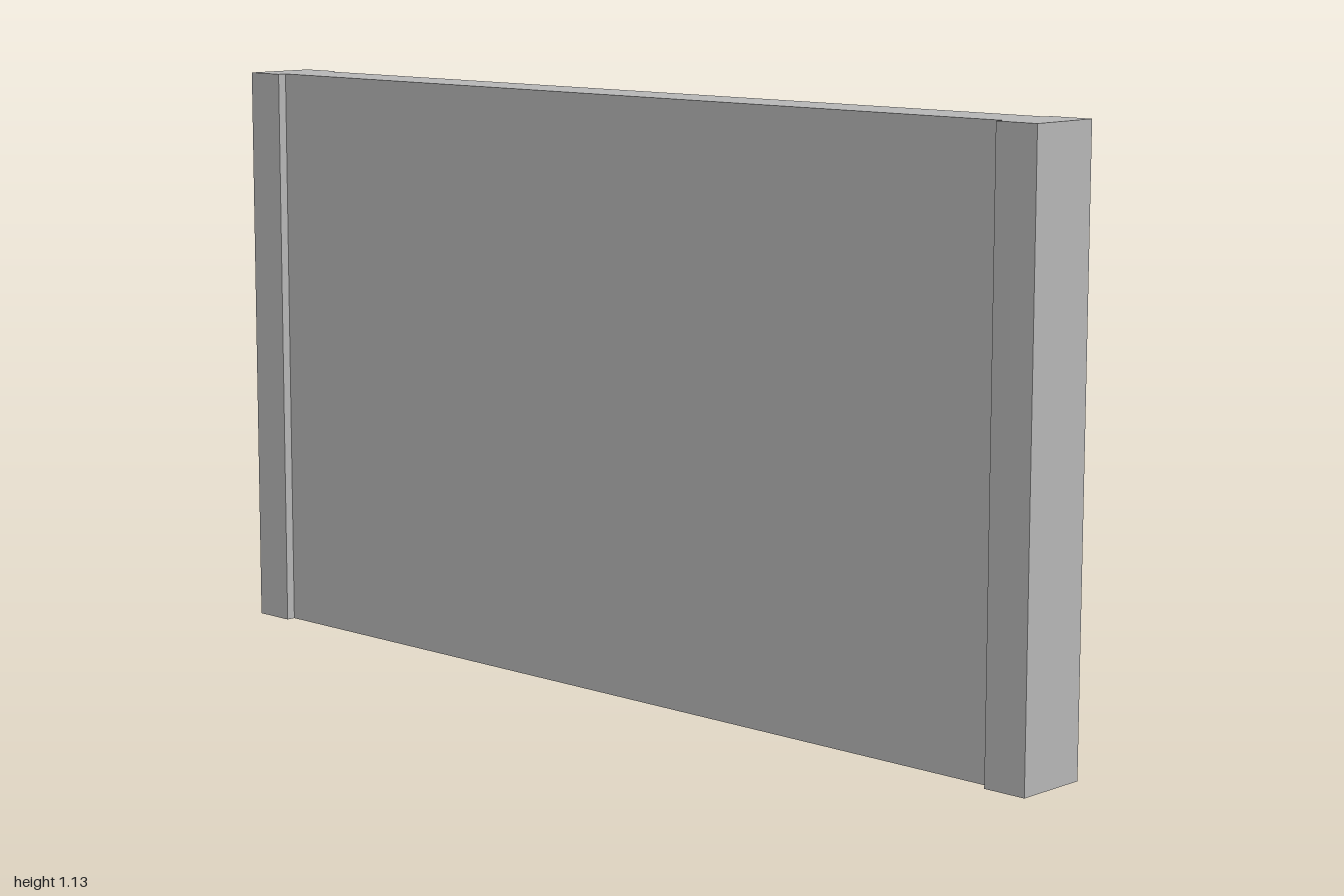
import * as THREE from 'three';

const H = 1.13, SLATS = 12, PITCH = H / SLATS;
const FRONT = 0.057, BACK = -0.065;

export function createModel() {
  const model = new THREE.Group();
  model.name = 'plankPanel';
  const grey = new THREE.MeshStandardMaterial({ color: 0xb5b5b5 });
  grey.name = 'lightGrey';

  const add = (geometry, name, x = 0, y = 0, z = 0) => {
    const mesh = new THREE.Mesh(geometry, grey);
    mesh.name = name;
    mesh.position.set(x, y, z);
    model.add(mesh);
  };

  // Plank wall: flat front, bevelled planks with shallow V grooves on the back
  const bevel = 0.012, depth = 0.007;
  const profile = new THREE.Shape();
  profile.moveTo(-FRONT, 0);
  for (let i = 0; i < SLATS; i++) {
    const y = i * PITCH;
    profile.lineTo(-BACK - depth, y);
    profile.lineTo(-BACK, y + bevel);
    profile.lineTo(-BACK, y + PITCH - bevel);
  }
  profile.lineTo(-BACK - depth, H);
  profile.lineTo(-FRONT, H);
  profile.closePath();
  const wall = new THREE.ExtrudeGeometry(profile, { depth: 1.84, bevelEnabled: false });
  wall.translate(0, 0, -0.92).rotateY(Math.PI / 2);
  add(wall, 'plankWall');

  // End posts with a column of low bolt heads on the back
  const post = new THREE.BoxGeometry(0.085, H, 0.148);
  const bolt = new THREE.CylinderGeometry(0.014, 0.015, 0.004, 16).rotateX(-Math.PI / 2);
  for (const side of [1, -1]) {
    const label = side > 0 ? 'left' : 'right';
    add(post, label + 'Post', side * 0.9575, H / 2, 0.001);
    for (let i = 0; i < SLATS; i++) {
      add(bolt, label + 'Bolt', side * 0.957, (i + 0.5) * PITCH, -0.073);
    }
  }

  // Thin slanted patches on some planks: [x, plank number]
  const outline = new THREE.Shape();
  outline.moveTo(-0.038, -0.022);
  outline.lineTo(0.182, -0.022);
  outline.lineTo(0.22, 0.012);
  outline.lineTo(0, 0.012);
  outline.closePath();
  const patch = new THREE.ExtrudeGeometry(outline, { depth: 0.004, bevelEnabled: false });
  const spots = [[0.48, 10], [-0.424, 11], [0.627, 7], [-0.367, 8],
    [0.243, 4], [-0.424, 5], [0.576, 1], [-0.068, 2]];
  for (const [x, row] of spots) {
    add(patch, 'plankPatch', x, (row + 0.5) * PITCH, BACK - 0.003);
  }

  return model;
}
